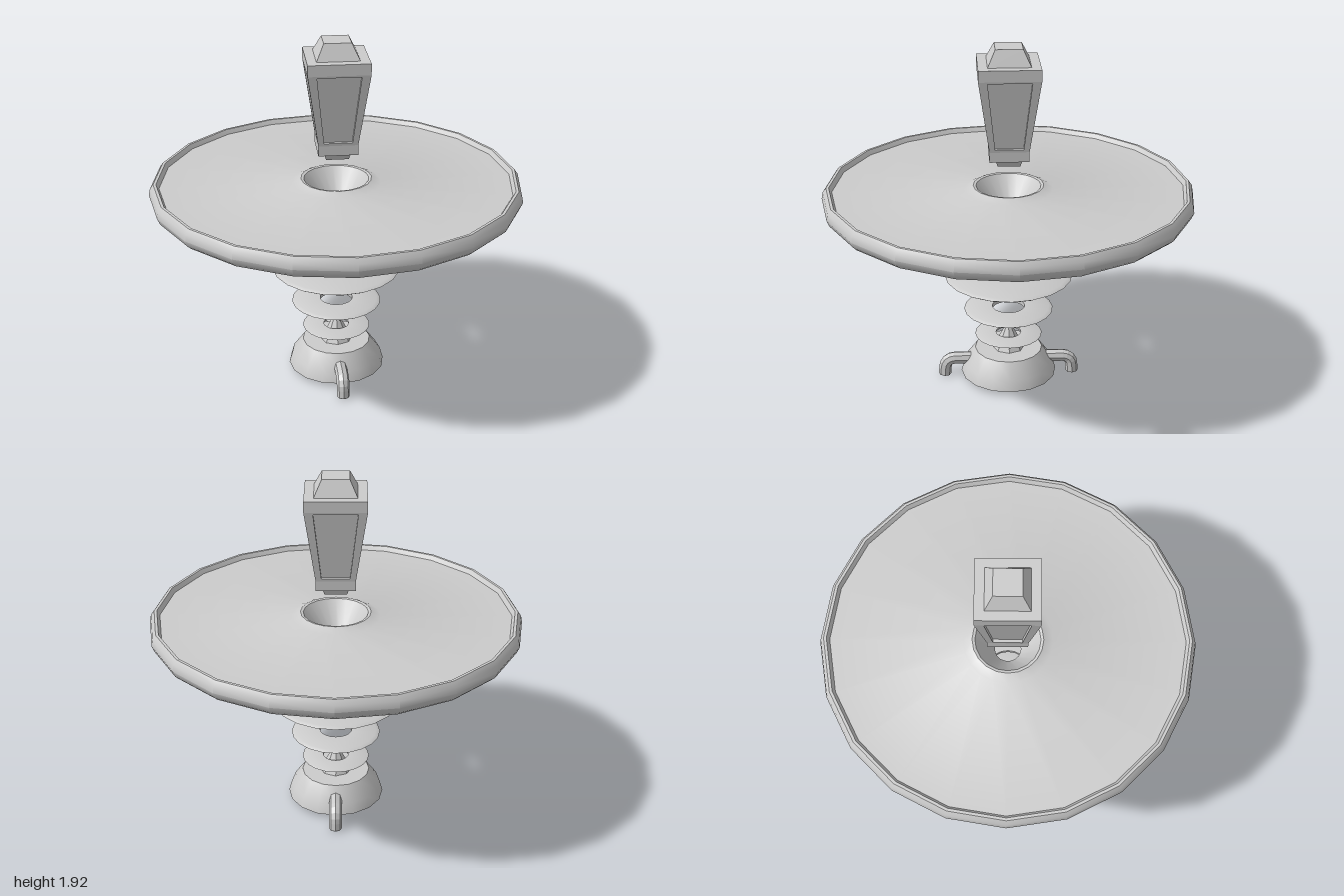
import * as THREE from 'three';
import { toCreasedNormals } from 'three/addons/utils/BufferGeometryUtils.js';

const mat = new THREE.MeshStandardMaterial({ color: 0xcccccc, side: THREE.DoubleSide });
const flatMat = new THREE.MeshStandardMaterial({ color: 0xcccccc, side: THREE.DoubleSide, flatShading: true });

function add(parent, name, geometry, material = mat) {
  const mesh = new THREE.Mesh(geometry, material);
  mesh.name = name;
  parent.add(mesh);
  return mesh;
}

// Profile of [radius, y] points, counter-clockwise, spun round the y axis
function lathe(points, sides) {
  const profile = points.map(([r, y]) => new THREE.Vector2(r, y));
  return toCreasedNormals(new THREE.LatheGeometry(profile, sides), 0.6);
}

// Square frustum given by half widths
function frustum(bottom, top, y0, y1) {
  const g = new THREE.CylinderGeometry(top * Math.SQRT2, bottom * Math.SQRT2, y1 - y0, 4);
  return g.rotateY(Math.PI / 4).translate(0, (y0 + y1) / 2, 0);
}

// One lantern side: tapered frame around a recessed panel, facing +z
function lanternSide() {
  const yTop = 1.77, yLow = 1.37, wTop = 0.163, wLow = 0.105, depth = 0.018;
  const zAt = y => wLow + (wTop - wLow) * (y - yLow) / (yTop - yLow);
  const loop = (y0, w0, y1, w1, inset) => [
    [-w0, y0, zAt(y0) - inset], [w0, y0, zAt(y0) - inset],
    [w1, y1, zAt(y1) - inset], [-w1, y1, zAt(y1) - inset]];
  const loops = [
    loop(yLow, wLow, yTop, wTop, 0),
    loop(1.385, 0.075, 1.76, 0.115, 0),
    loop(1.385, 0.075, 1.76, 0.115, depth)];
  const pos = [];
  const quad = (a, b, c, d) => pos.push(...a, ...b, ...c, ...a, ...c, ...d);
  for (let k = 0; k < 2; k++) {
    for (let i = 0; i < 4; i++) {
      const j = (i + 1) % 4;
      quad(loops[k][i], loops[k][j], loops[k + 1][j], loops[k + 1][i]);
    }
  }
  quad(...loops[2]);
  const g = new THREE.BufferGeometry();
  g.setAttribute('position', new THREE.Float32BufferAttribute(pos, 3));
  g.computeVertexNormals();
  return g;
}

export function createModel() {
  const model = new THREE.Group();
  model.name = 'floatingPlatform';

  // Base dome with a pointed spire
  const base = new THREE.Group();
  base.name = 'base';
  model.add(base);
  add(base, 'baseBody', lathe([[0, 0.02], [0.267, 0.02], [0.25, 0.08], [0.188, 0.165], [0, 0.165]], 16));
  add(base, 'spire', new THREE.ConeGeometry(0.09, 0.17, 8).translate(0, 0.248, 0), flatMat);

  // Bent pipes at front and back
  for (const s of [1, -1]) {
    const path = new THREE.CurvePath();
    const v = (y, z) => new THREE.Vector3(0, y, z * s);
    path.add(new THREE.LineCurve3(v(0.097, 0.18), v(0.097, 0.30)));
    path.add(new THREE.QuadraticBezierCurve3(v(0.097, 0.30), v(0.097, 0.352), v(0.05, 0.358)));
    path.add(new THREE.LineCurve3(v(0.05, 0.358), v(0, 0.362)));
    const name = s > 0 ? 'frontPipe' : 'backPipe';
    add(base, name, new THREE.TubeGeometry(path, 12, 0.035, 8), flatMat);
    // Flat end of the pipe
    const end = new THREE.CircleGeometry(0.035, 8).rotateX(Math.PI / 2).translate(0, 0.001, 0.362 * s);
    add(base, name + 'End', end);
  }

  // Floating rings, growing upwards: [y, hole, outer radius, half thickness]
  const rings = [
    [0.252, 0.07, 0.187, 0.005],
    [0.41, 0.09, 0.247, 0.012],
    [0.62, 0.125, 0.353, 0.012],
    [0.89, 0.165, 0.468, 0.016]];
  rings.forEach(([y, hole, r, h], i) => {
    add(model, 'ring' + (i + 1), lathe([
      [hole, y - h], [r - 1.7 * h, y - h], [r, y], [r - 1.7 * h, y + h], [hole, y + h], [hole, y - h]], 20));
  });

  // Platform disc with raised rim and an open funnel in the middle
  add(model, 'platform', lathe([
    [0.07, 1.0], [0.165, 1.038], [0.24, 1.067], [0.945, 1.067], [0.955, 1.04], [0.968, 1.04],
    [0.986, 1.057], [1, 1.09], [0.993, 1.125], [0.975, 1.15], [0.96, 1.15], [0.945, 1.125],
    [0.24, 1.125], [0.19, 1.148], [0.175, 1.145], [0.07, 1.0]], 20));

  // Lantern floating above
  const lantern = new THREE.Group();
  lantern.name = 'lantern';
  model.add(lantern);
  add(lantern, 'lanternFoot', frustum(0.06, 0.072, 1.275, 1.315), flatMat);
  add(lantern, 'lowerBand', frustum(0.105, 0.105, 1.315, 1.37), flatMat);
  for (let i = 0; i < 4; i++) {
    add(lantern, 'sidePanel' + (i + 1), lanternSide()).rotation.y = i * Math.PI / 2;
  }
  add(lantern, 'upperBand', frustum(0.163, 0.163, 1.77, 1.83), flatMat);
  add(lantern, 'lanternCap', frustum(0.113, 0.072, 1.83, 1.915), flatMat);

  return model;
}
